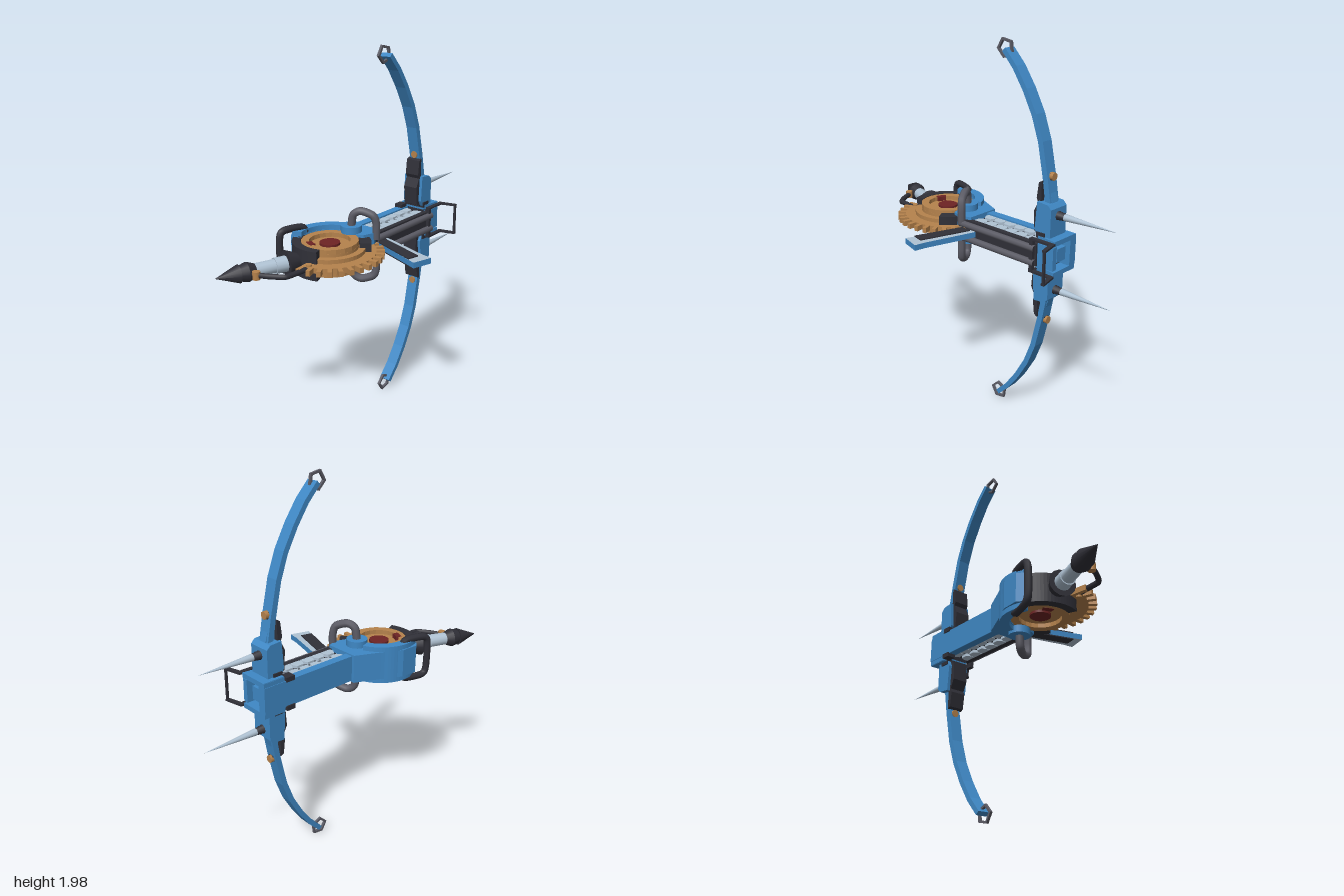
import * as THREE from 'three';

const mat = (name, color) => Object.assign(new THREE.MeshStandardMaterial({ color }), { name });

export function createModel() {
  const blue = mat('blue paint', 0x3f88c5), dark = mat('dark metal', 0x303038), grey = mat('grey hose', 0x5c5c66);
  const steel = mat('pale steel', 0xb0c3d4), tan = mat('bronze', 0xb5824c), red = mat('dark red', 0x6e2424);
  const model = new THREE.Group();
  const body = new THREE.Group();
  body.name = 'crossbow';
  body.position.y = 1; // everything is mirrored about this height
  model.add(body);

  const add = (name, geo, material, parent = body) => {
    const m = new THREE.Mesh(geo, material);
    m.name = name;
    parent.add(m);
    return m;
  };
  // box from its min and max corners
  const box = (name, x0, x1, y0, y1, z0, z1, material, parent) => add(name,
    new THREE.BoxGeometry(x1 - x0, y1 - y0, z1 - z0).translate((x0 + x1) / 2, (y0 + y1) / 2, (z0 + z1) / 2), material, parent);
  const shapeOf = pts => new THREE.Shape(pts.map(p => new THREE.Vector2(p[0], p[1])));
  // plate drawn in x and z, with thickness h centred on y
  const plate = (name, pts, h, material, y = 0) => add(name,
    new THREE.ExtrudeGeometry(shapeOf(pts), { depth: h, bevelEnabled: false }).rotateX(Math.PI / 2).translate(0, y + h / 2, 0), material);
  const tube = (name, pts, r, material, tension = 0.4, parent = body) => add(name, new THREE.TubeGeometry(
    new THREE.CatmullRomCurve3(pts.map(p => new THREE.Vector3(...p)), false, 'catmullrom', tension), 40, r, 8), material, parent);

  // ---- hub, drum and gear ----
  const cx = -0.27, cz = -0.115;
  const arc = (r, a0, a1, n = 20) => Array.from({ length: n + 1 }, (_, i) => {
    const a = a0 + (a1 - a0) * i / n;
    return [cx + r * Math.cos(a), cz + r * Math.sin(a)];
  });
  const sector = (r0, r1, a0, a1) => [...arc(r1, a0, a1), ...arc(r0, a1, a0)];
  const disc = (name, r, h, material, x = cx, z = cz, y = 0) =>
    add(name, new THREE.CylinderGeometry(r, r, h, 28).translate(x, y, z), material);
  disc('hub', 0.146, 0.1, tan);
  disc('hubCore', 0.052, 0.125, red);
  for (const s of [1, -1]) plate('hubRim', [...sector(0.105, 0.146, 0, Math.PI * 2)], 0.025, tan, s * 0.06);
  plate('hubWindow', sector(0.09, 0.12, 3.3, 3.8), 0.148, red);
  plate('rearDrumWall', sector(0.146, 0.19, 2.75, 4.5), 0.15, dark);
  plate('frontDrumWall', sector(0.15, 0.21, 0.25, 1.0), 0.12, dark);

  // half gear with square teeth
  const teeth = 15, a0 = 0.12, a1 = Math.PI - 0.1, rim = [];
  for (let i = 0; i < teeth; i++) {
    const step = (a1 - a0) / teeth, a = a0 + i * step;
    rim.push(...arc(0.235, a, a + step * 0.5, 2), ...arc(0.277, a + step * 0.55, a + step * 0.95, 1));
  }
  plate('gear', [...rim, ...arc(0.14, a1, a0)], 0.028, tan);
  plate('gearBand', sector(0.14, 0.18, a0, a1), 0.07, tan);

  // ---- painted housing ----
  plate('housing', [[-0.36, -0.3], [-0.33, -0.325], [-0.24, -0.32], [-0.13, -0.265], [0, -0.205], [0, -0.02], [-0.06, 0],
    [-0.12, -0.02], ...arc(0.147, 0.4, -2.1)], 0.15, blue);
  plate('housingRib', sector(0.15, 0.2, -2.0, -0.35), 0.2, blue);
  disc('hoseSocket', 0.055, 0.22, blue, -0.11, -0.11);

  // hose looping behind the housing
  tube('rearHose', [[-0.27, 0.08, -0.28], [-0.29, 0.108, -0.29], [-0.39, 0.108, -0.32], [-0.415, 0.07, -0.325],
    [-0.415, -0.07, -0.325], [-0.39, -0.108, -0.32], [-0.29, -0.108, -0.29], [-0.27, -0.08, -0.28]], 0.019, dark);

  // ---- tail piston, pointing backward ----
  const tail = new THREE.Group();
  tail.name = 'tail';
  tail.position.set(-0.43, 0, -0.165);
  tail.rotation.y = Math.atan2(-0.15, 0.41); // local -x runs outward
  body.add(tail);
  const stage = (name, d0, d1, r0, r1, material) => add(name,
    new THREE.CylinderGeometry(r1, r0, d1 - d0, 14).rotateZ(Math.PI / 2).translate(-(d0 + d1) / 2, 0, 0), material, tail);
  stage('pistonFlare', 0.01, 0.08, 0.04, 0.068, dark);
  stage('pistonShaft', 0.0, 0.26, 0.037, 0.034, steel);
  stage('pistonSleeve', 0.07, 0.14, 0.041, 0.041, steel);
  stage('pistonCollar', 0.24, 0.28, 0.034, 0.05, dark);
  stage('pistonCollarEnd', 0.28, 0.33, 0.05, 0.035, dark);
  stage('tailPoint', 0.32, 0.435, 0.047, 0.001, dark);

  // bent lever along the piston
  tube('lever', [[-0.4, 0, -0.06], [-0.6, 0, -0.07], [-0.63, 0, -0.085], [-0.665, 0, -0.14], [-0.69, 0, -0.2], [-0.7, 0, -0.25]], 0.014, dark);
  disc('leverBolt', 0.019, 0.04, tan, -0.692, -0.197);
  disc('leverPivot', 0.015, 0.045, tan, -0.48, -0.06);

  // ---- stock ----
  box('stockSpine', -0.02, 0.55, -0.068, 0.068, -0.19, -0.145, blue);
  box('stockCore', -0.02, 0.45, -0.045, 0.045, -0.15, -0.03, dark);
  box('stockFace', -0.04, 0.45, -0.06, 0.06, -0.035, -0.008, dark);
  for (const s of [1, -1]) {
    for (let i = 0; i < 6; i++) { // toothed steel rails
      const x = 0.045 + i * 0.068;
      for (const z of [-0.122, -0.062]) {
        const d = z < -0.09 ? -1 : 1;
        plate('railTooth', [[x - 0.034, z + d * 0.025], [x - 0.034, z], [x - 0.02, z - d * 0.022], [x + 0.018, z - d * 0.022],
          [x + 0.03, z], [x + 0.03, z + d * 0.025]], 0.02, steel, s * 0.05);
      }
    }
    // rod and hose on each side
    tube('feedHose', [[-0.11, s * 0.1, -0.11], [-0.105, s * 0.165, -0.1], [-0.085, s * 0.187, -0.065], [-0.055, s * 0.165, -0.01],
      [-0.045, s * 0.12, 0.003], [-0.045, s * 0.04, 0.003]], 0.021, grey);
    tube('feedRod', [[-0.055, s * 0.038, 0.003], [0.2, s * 0.038, 0.003], [0.45, s * 0.038, 0.003]], 0.018, grey);
    // foot stirrup arms
    box('stirrupArm', 0.42, 0.555, s * 0.084 - 0.005, s * 0.084 + 0.005, -0.012, 0.012, dark);
    plate('stirrupLeg', [[0.535, -0.012], [0.56, -0.012], [0.582, 0.09], [0.562, 0.09]], 0.01, dark, s * 0.084);
  }
  box('stirrupBar', 0.567, 0.578, -0.084, 0.084, 0.078, 0.09, dark);
  box('stirrupCrossbar', 0.42, 0.44, -0.084, 0.084, -0.01, 0.01, dark);

  // ---- hollow bow mount ----
  for (const s of [1, -1]) {
    plate('mountSide', [[0.43, -0.185], [0.55, -0.185], [0.55, -0.02], [0.43, -0.035]], 0.025, blue, s * 0.08);
    box('mountClip', 0.375, 0.425, s * 0.075 - 0.012, s * 0.075 + 0.012, -0.197, -0.15, dark);
  }
  box('mountBack', 0.43, 0.55, -0.09, 0.09, -0.187, -0.16, blue);
  box('mountFront', 0.44, 0.545, -0.06, 0.06, -0.045, -0.018, blue);
  box('mountInterior', 0.43, 0.49, -0.07, 0.07, -0.165, -0.04, dark);
  box('mountBarrel', 0.48, 0.53, -0.035, 0.035, -0.135, -0.07, blue);

  // ---- handle ----
  plate('handle', [[-0.03, 0], [0.055, 0], [-0.025, 0.28], [-0.035, 0.34], [-0.14, 0.31], [-0.125, 0.27]], 0.03, [steel, blue]);
  for (const s of [1, -1])
    plate('handleGrip', [[-0.035, 0.01], [0.025, 0.01], [-0.06, 0.28], [-0.122, 0.265]], 0.006, dark, s * 0.018);

  // ---- bow arms: one built upward, one turned over ----
  for (const side of [0, 1]) {
    const arm = new THREE.Group();
    arm.name = side ? 'lowerBowArm' : 'upperBowArm';
    arm.position.z = -0.1;
    arm.rotation.x = side * Math.PI;
    body.add(arm);
    const slab = (name, pts, w, material) => add(name,
      new THREE.ExtrudeGeometry(shapeOf(pts), { depth: w, bevelEnabled: false }).translate(0, 0, -w / 2), material, arm);
    const mid = [[0.47, 0.1], [0.462, 0.25], [0.441, 0.37], [0.404, 0.54], [0.36, 0.66], [0.3, 0.77], [0.235, 0.865], [0.165, 0.94]];
    const offset = (d) => mid.map((p, i) => {
      const a = mid[Math.max(i - 1, 0)], b = mid[Math.min(i + 1, mid.length - 1)];
      const dx = b[0] - a[0], dy = b[1] - a[1], l = Math.hypot(dx, dy), t = d * (1 - 0.03 * i);
      return [p[0] + dy / l * t, p[1] - dx / l * t];
    });
    slab('limb', [...offset(0.016), ...offset(-0.016).reverse()], 0.065, blue);
    slab('limbRoot', [[0.43, 0.08], [0.505, 0.09], [0.505, 0.235], [0.485, 0.255], [0.42, 0.26], [0.41, 0.12]], 0.12, blue);
    slab('limbWedge', [[0.43, 0.25], [0.483, 0.25], [0.462, 0.325], [0.43, 0.33]], 0.04, blue);
    slab('backPlate', [[0.43, 0.085], [0.43, 0.3], [0.43, 0.36], [0.412, 0.35], [0.402, 0.27], [0.412, 0.25], [0.388, 0.2], [0.395, 0.1]], 0.085, dark);
    slab('rootBand', [[0.425, 0.08], [0.475, 0.08], [0.475, 0.11], [0.425, 0.11]], 0.132, dark);
    slab('limbClip', [[0.44, 0.385], [0.455, 0.395], [0.465, 0.37], [0.45, 0.35]], 0.03, dark);
    add('limbBolt', new THREE.CylinderGeometry(0.02, 0.02, 0.055, 10).rotateZ(Math.PI / 2).translate(0.445, 0.38, 0), tan, arm);
    // spike with its ringed collar
    for (let i = 0; i < 3; i++)
      add('spikeCollar', new THREE.CylinderGeometry(0.018 - i * 0.002, 0.024 - i * 0.002, 0.016, 12).rotateZ(-Math.PI / 2)
        .translate(0.512 + i * 0.016, 0.195, 0), dark, arm);
    add('spike', new THREE.ConeGeometry(0.018, 0.29, 12).rotateZ(-Math.PI / 2).translate(0.69, 0.195, 0), steel, arm);
    // five-sided string loop at the tip
    const ring = [0, 1, 2, 3, 4].map(i => i * Math.PI * 0.4 + 2.0);
    const loop = new THREE.Shape(ring.map(a => new THREE.Vector2(0.052 * Math.cos(a), 0.05 * Math.sin(a))));
    loop.holes.push(new THREE.Path(ring.map(a => new THREE.Vector2(0.038 * Math.cos(a), 0.036 * Math.sin(a)))));
    add('stringLoop', new THREE.ExtrudeGeometry(loop, { depth: 0.014, bevelEnabled: false }).translate(0.15, 0.945, -0.007), grey, arm);
  }
  return model;
}
